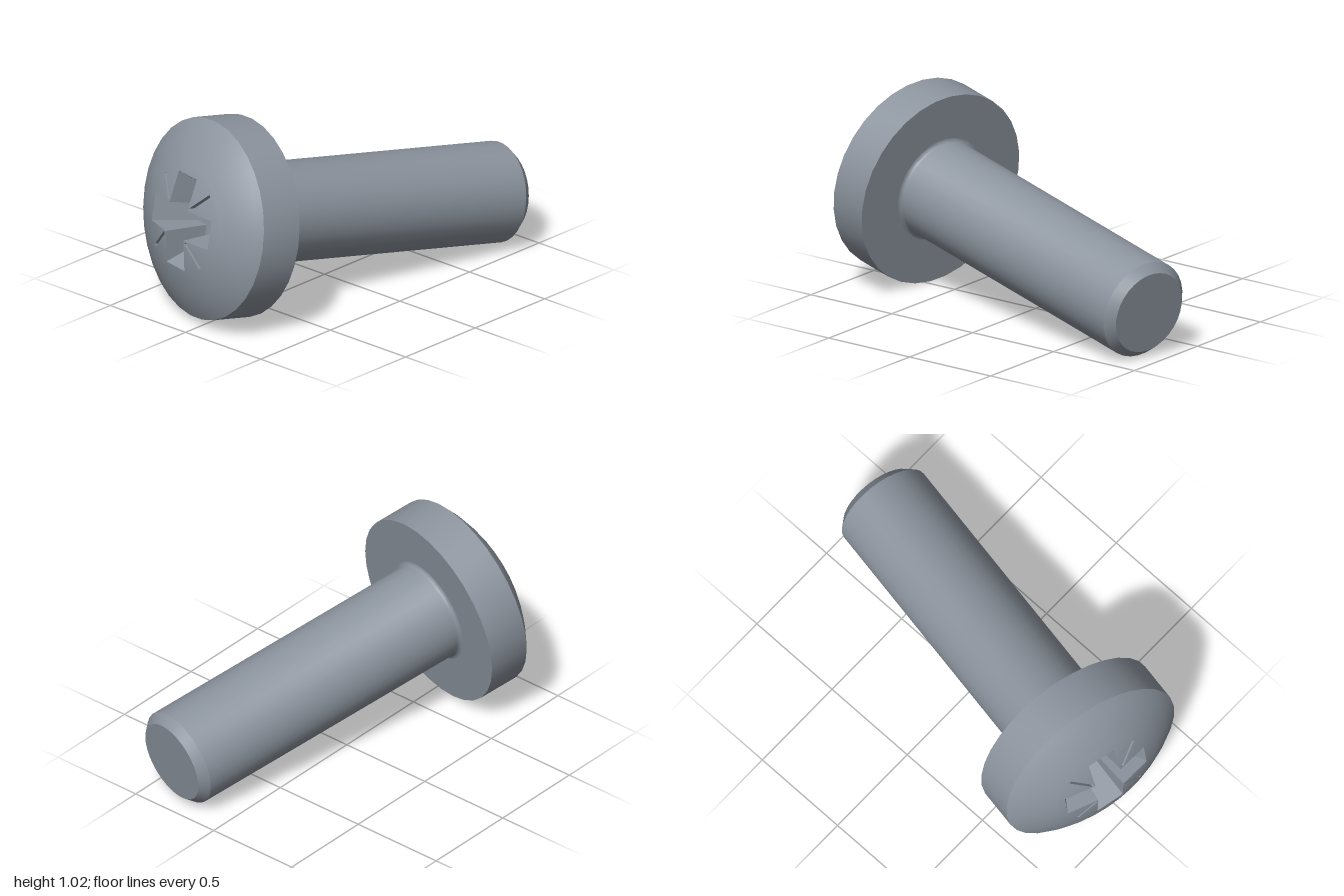
import * as THREE from 'three';
import { toCreasedNormals } from 'three/addons/utils/BufferGeometryUtils.js';

const SEG = 32;
const HEAD_R = 0.498, RIM_H = 0.215, DOME_R = 0.81, DOME_Y = RIM_H - 0.638;
const SHAFT_R = 0.249, LENGTH = 1.599, FILLET = 0.02, INNER_R = 0.28;

const domeHeight = (r) => DOME_Y + Math.sqrt(DOME_R * DOME_R - r * r);
const v2 = (x, y) => new THREE.Vector2(x, y);

// Repeats a few points around the centre in quarter turns, counter-clockwise
function quarters(points) {
  const out = [];
  for (let q = 0; q < 4; q++)
    for (const p of points) out.push(p.clone().rotateAround(v2(0, 0), q * Math.PI / 2));
  return out;
}

// Cross outline with four blunt arms
const cross = (reach, half) => quarters([v2(reach, -half), v2(reach, half), v2(half, half)]);

// Thin diagonal slit
function slit(q, r0, r1, half) {
  const a = Math.PI / 4 + q * Math.PI / 2;
  return [v2(r0, -half), v2(r1, -half), v2(r1, half), v2(r0, half)]
    .map((p) => p.rotateAround(v2(0, 0), a));
}

// Pocket sunk into the dome: walls from the mouth to a flat floor
function pocket(mouth, floor, floorY) {
  const top = mouth.map((p) => new THREE.Vector3(p.x, domeHeight(p.length()), -p.y));
  const low = floor.map((p, i) => new THREE.Vector3(p.x, floorY(p), -p.y));
  const mid = new THREE.Vector3();
  low.forEach((p) => mid.addScaledVector(p, 1 / low.length));
  const tris = [];
  for (let i = 0; i < top.length; i++) {
    const j = (i + 1) % top.length;
    tris.push(top[i], top[j], low[i], top[j], low[j], low[i], low[i], low[j], mid);
  }
  const geo = new THREE.BufferGeometry().setFromPoints(tris);
  geo.computeVertexNormals();
  return geo;
}

export function createModel() {
  const model = new THREE.Group();
  model.name = 'screw';
  const steel = new THREE.MeshStandardMaterial({ color: 0x8c949e });
  steel.name = 'steel grey';
  const add = (name, geo) => {
    const mesh = new THREE.Mesh(geo, steel);
    mesh.name = name;
    model.add(mesh);
  };

  // Shaft with chamfered tip and a fillet under the head
  const shaft = [v2(0, -LENGTH), v2(0.2085, -LENGTH), v2(SHAFT_R, -LENGTH + 0.045)];
  for (let i = 0; i <= 5; i++) {
    const a = (i / 5) * Math.PI / 2;
    shaft.push(v2(SHAFT_R + FILLET * (1 - Math.cos(a)), -FILLET * (1 - Math.sin(a))));
  }
  add('shaft', toCreasedNormals(new THREE.LatheGeometry(shaft, SEG), 0.45));

  // Head: underside, rim and outer dome
  const head = [v2(SHAFT_R + FILLET, 0), v2(HEAD_R, 0)];
  const a0 = Math.asin(HEAD_R / DOME_R), a1 = Math.asin(INNER_R / DOME_R);
  for (let i = 0; i <= 6; i++) {
    const r = DOME_R * Math.sin(a0 + (a1 - a0) * i / 6);
    head.push(v2(r, domeHeight(r)));
  }
  add('head', toCreasedNormals(new THREE.LatheGeometry(head, SEG), 0.45));

  // Dome centre, pierced by the drive recess
  const mouth = cross(0.235, 0.075);
  const slits = [0, 1, 2, 3].map((q) => slit(q, 0.122, 0.265, 0.007));
  const ring = [];
  for (let i = 0; i < SEG; i++) {
    const a = (i / SEG) * Math.PI * 2;
    ring.push(v2(INNER_R * Math.cos(a), INNER_R * Math.sin(a)));
  }
  const shape = new THREE.Shape(ring);
  shape.holes = [mouth, ...slits].map((pts) => new THREE.Path(pts));
  const cap = new THREE.ShapeGeometry(shape);
  const pos = cap.attributes.position, nor = cap.attributes.normal;
  for (let i = 0; i < pos.count; i++) {
    const x = pos.getX(i), z = -pos.getY(i), y = domeHeight(Math.hypot(x, z));
    pos.setXYZ(i, x, y, z);
    nor.setXYZ(i, x / DOME_R, (y - DOME_Y) / DOME_R, z / DOME_R);
  }
  add('domeCentre', cap);

  // Cross recess narrowing with depth, and the four shallow slits
  add('crossRecess', pocket(mouth, cross(0.13, 0.055), () => 0.15));
  slits.forEach((s) => add('diagonalSlit', pocket(s, s, (p) => domeHeight(p.length()) - 0.04)));

  // Tilt the whole screw so the tip points right, down and forward
  const y = new THREE.Vector3(-0.966, 0.1575, -0.2051).normalize();
  const z = new THREE.Vector3(0, -1, 0).addScaledVector(y, y.y).normalize();
  const x = new THREE.Vector3().crossVectors(y, z);
  model.quaternion.setFromRotationMatrix(new THREE.Matrix4().makeBasis(x, y, z));
  model.position.set(-0.599, 0.493, -0.013);

  const root = new THREE.Group();
  root.name = 'tiltedScrew';
  root.add(model);
  return root;
}
